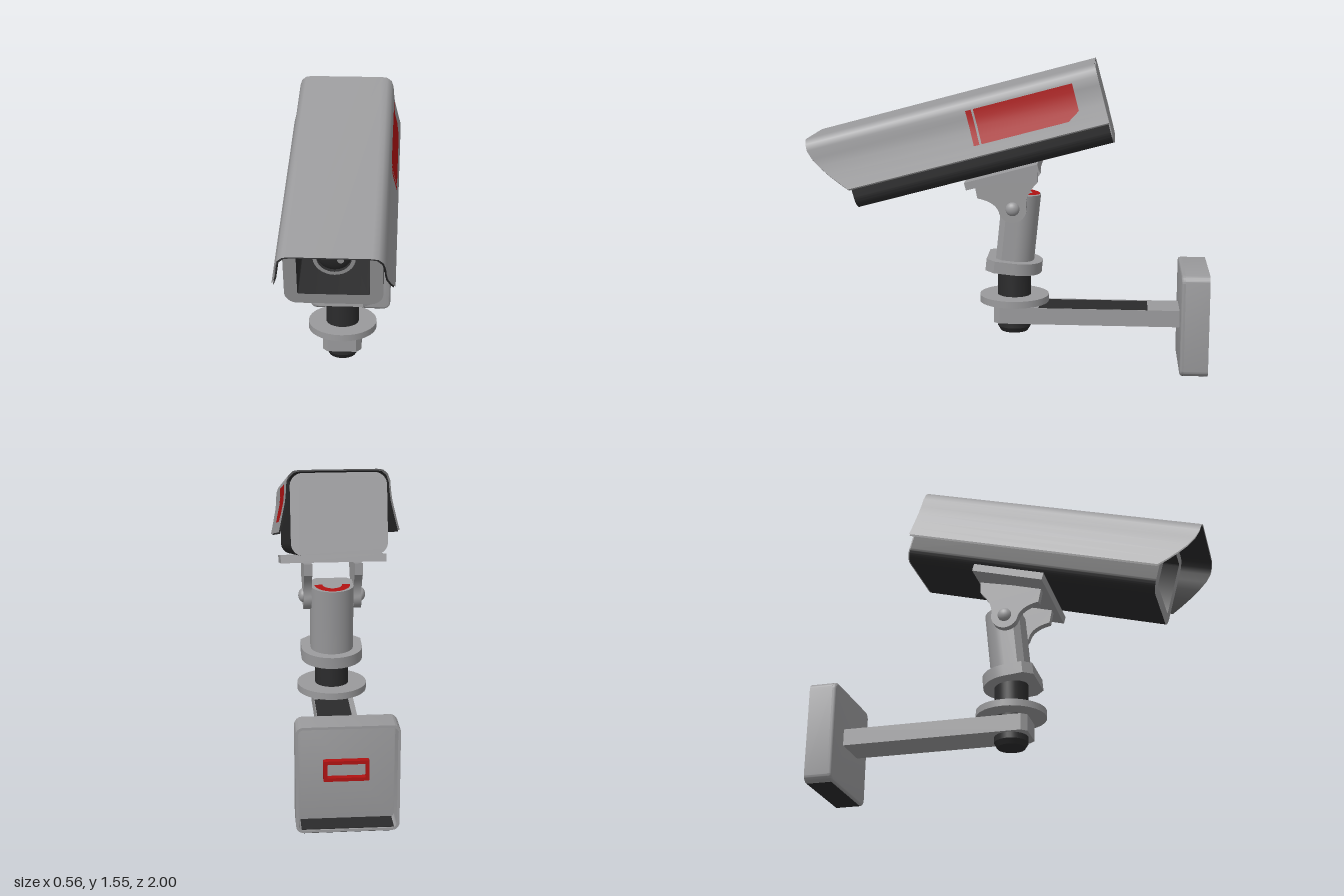
import * as THREE from 'three';
import { toCreasedNormals } from 'three/addons/utils/BufferGeometryUtils.js';

const mat = (name, color, side = THREE.FrontSide) => {
  const m = new THREE.MeshStandardMaterial({ color, side });
  m.name = name;
  return m;
};

export function createModel() {
  const grey = mat('housing grey', 0x9a9a9c, THREE.DoubleSide);
  const dark = mat('dark rubber', 0x2b2b2c, THREE.DoubleSide);
  const red = mat('red panel', 0xb01212, THREE.DoubleSide);
  const model = new THREE.Group();
  model.name = 'securityCamera';

  const add = (parent, name, geo, material, x = 0, y = 0, z = 0) => {
    const m = new THREE.Mesh(geo, material);
    m.name = name;
    m.position.set(x, y, z);
    parent.add(m);
    return m;
  };
  const box = (w, h, d) => new THREE.BoxGeometry(w, h, d);
  const extrude = (shape, depth, opts = {}) => toCreasedNormals(
    new THREE.ExtrudeGeometry(shape, { depth, bevelEnabled: false, curveSegments: 10, ...opts }), 0.6);
  // Rounded rectangle centred on (0, cy)
  const roundRect = (w, h, r, cy = 0, Type = THREE.Shape) => {
    const s = new Type(), a = w / 2, b = h / 2;
    s.absarc(a - r, cy - b + r, r, -Math.PI / 2, 0);
    s.absarc(a - r, cy + b - r, r, 0, Math.PI / 2);
    s.absarc(-a + r, cy + b - r, r, Math.PI / 2, Math.PI);
    s.absarc(-a + r, cy - b + r, r, Math.PI, Math.PI * 1.5);
    s.closePath();
    return s;
  };
  // Plan outline: chamfered flat front, rounded back; extruded upwards
  const column = (a, b, c, h) => {
    const s = new THREE.Shape();
    s.moveTo(-a, 0);
    s.lineTo(-a, -b + c);
    s.lineTo(-a + c, -b);
    s.lineTo(a - c, -b);
    s.lineTo(a, -b + c);
    s.lineTo(a, 0);
    s.absellipse(0, 0, a, b, 0, Math.PI);
    return extrude(s, h).rotateX(-Math.PI / 2);
  };
  // Sheet that runs a cross-section from its back to its front edge
  const sheet = (profile, back, front) => {
    const pos = [], idx = [];
    profile.forEach(([x, y], i) => {
      pos.push(x, y, back(y), x, y, front(y));
      if (i) {
        const a = 2 * i - 2;
        idx.push(a, a + 1, a + 2, a + 1, a + 3, a + 2);
      }
    });
    const g = new THREE.BufferGeometry();
    g.setAttribute('position', new THREE.Float32BufferAttribute(pos, 3));
    g.setIndex(idx);
    g.computeVertexNormals();
    return g;
  };

  // Camera head, tilted nose down
  const head = new THREE.Group();
  head.name = 'cameraHead';
  head.rotation.x = THREE.MathUtils.degToRad(15);
  model.add(head);

  // Body tube with open front frame
  const bodyShape = roundRect(0.45, 0.382, 0.06, 1.184);
  bodyShape.holes.push(roundRect(0.33, 0.285, 0.01, 1.19, THREE.Path));
  add(head, 'body', extrude(bodyShape, 1.305), [grey, dark], 0, 0, -0.8);
  add(head, 'bodyBack', extrude(roundRect(0.45, 0.382, 0.06, 1.184), 0.006), grey, 0, 0, -0.806);
  add(head, 'recessBack', box(0.34, 0.295, 0.01), dark, 0, 1.19, 0.25);

  // Lens
  add(head, 'lensBarrel', new THREE.CylinderGeometry(0.098, 0.098, 0.17, 32, 1, true).rotateX(Math.PI / 2), dark, 0, 1.19, 0.335);
  add(head, 'lensRim', new THREE.RingGeometry(0.08, 0.098, 32), grey, 0, 1.19, 0.42);
  add(head, 'lensGlass', new THREE.SphereGeometry(0.08, 24, 8, 0, Math.PI * 2, 0, Math.PI / 2)
    .scale(1, 0.3, 1).rotateX(Math.PI / 2), dark, 0, 1.19, 0.4);
  add(head, 'lensGlint', new THREE.CircleGeometry(0.016, 16), grey, 0.03, 1.18, 0.425);

  // Sunshade hood with a swept-back front edge
  const side = [[0.18, 1.389], [0.208, 1.385], [0.23, 1.366], [0.24, 1.335], [0.243, 1.29],
    [0.248, 1.245], [0.259, 1.195], [0.269, 1.15], [0.28, 1.105]];
  const hoodProfile = [...side.map(([x, y]) => [-x, y]).reverse(), ...side];
  const hoodFront = (y) => 0.663 - 0.155 * Math.pow(Math.max(0, (1.33 - y) / 0.225), 1.4);
  add(head, 'hood', sheet(hoodProfile, () => -0.806, hoodFront), grey);
  const inner = hoodProfile.map(([x, y]) => [x - Math.sign(x) * 0.007, y - 0.007]);
  add(head, 'hoodLining', sheet(inner, () => -0.804, (y) => hoodFront(y + 0.007) - 0.001), dark);

  // Red side panel and strip following the hood's left side
  const panel = [[0.246, 1.33], [0.247, 1.29], [0.252, 1.245], [0.263, 1.195], [0.272, 1.157]];
  add(head, 'sidePanel', sheet(panel, (y) => (y < 1.17 ? -0.62 : -0.68), () => -0.186), red);
  add(head, 'sideStrip', sheet(panel, () => -0.175, () => -0.147), red);

  // Mounting plate under the body
  add(head, 'mountPlate', box(0.52, 0.038, 0.37), grey, 0, 0.974, -0.235);

  // Hinge ears and pins
  const ear = new THREE.Shape();
  ear.moveTo(-0.17, 0.95);
  ear.lineTo(-0.155, 0.875);
  ear.quadraticCurveTo(-0.07, 0.86, -0.049, 0.81);
  ear.absarc(0.02, 0.823, 0.07, Math.PI * 1.06, Math.PI * 2);
  ear.quadraticCurveTo(0.075, 0.89, 0.145, 0.96);
  ear.lineTo(0.145, 1.02);
  const earGeo = extrude(ear, 0.04).rotateY(Math.PI / 2);
  for (const s of [-1, 1]) {
    add(model, 'hingeEar', earGeo, grey, s * 0.125 - 0.02);
    add(model, 'hingePin', new THREE.SphereGeometry(0.035, 20, 12).scale(0.7, 1, 1), grey, s * 0.145, 0.823, -0.02);
  }

  // Leaning post with its collar
  const post = new THREE.Group();
  post.name = 'post';
  post.position.set(0, 0.487, -0.02);
  post.rotation.x = -0.1;
  model.add(post);
  add(post, 'collar', column(0.155, 0.14, 0.045, 0.06), grey);
  add(post, 'postColumn', column(0.108, 0.095, 0.03, 0.35), grey, 0, 0.05, 0);
  add(post, 'postTopMark', new THREE.RingGeometry(0.05, 0.09, 24, 1, 0, Math.PI).rotateX(-Math.PI / 2), red, 0, 0.403, 0);

  // Vertical spindle and washer
  const spindle = [[0, 0.165], [0.07, 0.165], [0.085, 0.19], [0.085, 0.5], [0, 0.5]]
    .map(([r, y]) => new THREE.Vector2(r, y));
  add(model, 'spindle', toCreasedNormals(new THREE.LatheGeometry(spindle, 28), 0.5), dark, 0, 0, -0.02);
  add(model, 'washer', new THREE.CylinderGeometry(0.177, 0.177, 0.035, 32), grey, 0, 0.338, -0.02);

  // Wall arm with chamfered tip and dark top
  const arm = new THREE.Shape([[-0.1, 0.89], [-0.1, -0.05], [-0.075, -0.08], [0.075, -0.08], [0.1, -0.05], [0.1, 0.89]]
    .map(([x, y]) => new THREE.Vector2(x, y)));
  add(model, 'arm', extrude(arm, 0.085).rotateX(-Math.PI / 2), grey, 0, 0.22, 0);
  add(model, 'armTopPad', box(0.17, 0.004, 0.55), dark, 0.012, 0.306, -0.425);

  // Wall box: hollow behind, rounded front edges
  const wall = roundRect(0.47, 0.515, 0.035, 0.258);
  wall.holes.push(roundRect(0.446, 0.491, 0.025, 0.258, THREE.Path));
  add(model, 'wallBoxSides', extrude(wall, 0.12), grey, 0, 0, -1);
  add(model, 'wallBoxFront', extrude(roundRect(0.446, 0.491, 0.025, 0.258), 0.008,
    { bevelEnabled: true, bevelSize: 0.012, bevelThickness: 0.012, bevelSegments: 3 }), grey, 0, 0, -0.88);
  add(model, 'wallBoxBase', box(0.4, 0.004, 0.125), dark, 0, 0.0, -0.935);
  add(model, 'wallBoxFloor', box(0.42, 0.004, 0.1), dark, 0, 0.016, -0.945);

  // Red cable frame inside the wall box
  const frame = roundRect(0.21, 0.1, 0.006, 0.2625);
  frame.holes.push(roundRect(0.176, 0.066, 0.004, 0.2625, THREE.Path));
  add(model, 'cableFrame', extrude(frame, 0.03), red, 0, 0, -0.92);
  return model;
}
